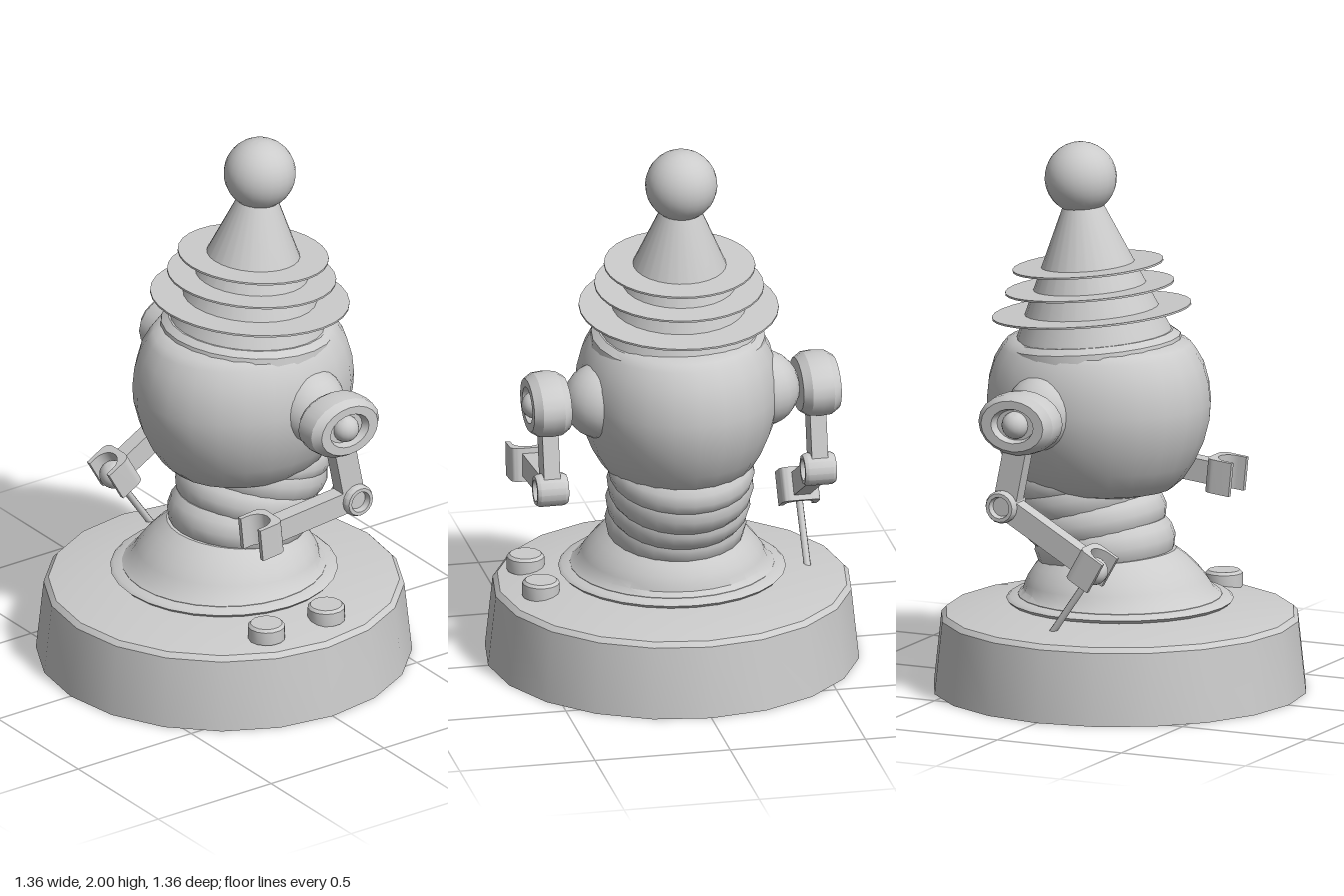
import * as THREE from 'three';
import { toCreasedNormals } from 'three/addons/utils/BufferGeometryUtils.js';

const material = new THREE.MeshStandardMaterial({ color: 0xcccccc, side: THREE.DoubleSide });

// Mesh with soft shading but sharp edges
function part(name, geometry, x = 0, y = 0, z = 0, crease = 0.6) {
  const mesh = new THREE.Mesh(toCreasedNormals(geometry, crease), material);
  mesh.name = name;
  mesh.position.set(x, y, z);
  return mesh;
}

// Turned shape from [radius, height] pairs
const turned = (points, sides = 24) =>
  new THREE.LatheGeometry(points.map(([r, y]) => new THREE.Vector2(r, y)), sides);

// Body: ball below, bell above whose top leans backwards
function makeBell() {
  const points = [];
  for (let i = 0; i <= 8; i++) {
    const a = (i / 8) * Math.PI / 2;
    points.push([0.37 * Math.sin(a), -0.35 * Math.cos(a)]);
  }
  points.push([0.345, 0.02], [0.33, 0.05], [0.31, 0.08], [0.28, 0.115], [0.245, 0.145], [0, 0.145]);
  const geometry = turned(points, 28);
  const p = geometry.attributes.position;
  for (let i = 0; i < p.count; i++) {
    const t = Math.max(0, p.getY(i)) / 0.145;
    p.setY(i, p.getY(i) + 0.09 * t * p.getZ(i));
    p.setZ(i, p.getZ(i) - 0.045 * t);
  }
  return part('bell', geometry, 0, 0.35, 0);
}

// U-shaped gripper, open towards +z
function makeClaw() {
  const s = new THREE.Shape();
  s.moveTo(-0.07, 0.105);
  s.lineTo(-0.07, 0.035);
  s.quadraticCurveTo(-0.07, 0, -0.035, 0);
  s.lineTo(0.035, 0);
  s.quadraticCurveTo(0.07, 0, 0.07, 0.035);
  s.lineTo(0.07, 0.105);
  s.lineTo(0.052, 0.105);
  s.lineTo(0.052, 0.075);
  s.absarc(0, 0.075, 0.052, 0, Math.PI, true);
  s.lineTo(-0.052, 0.105);
  const geometry = new THREE.ExtrudeGeometry(s, { depth: 0.125, bevelEnabled: false, curveSegments: 8 });
  geometry.translate(0, 0, -0.0625);
  geometry.rotateX(Math.PI / 2);
  return part('claw', geometry);
}

// Arm on one side; bend tips the forearm downwards
function makeArm(side, bend) {
  const arm = new THREE.Group();
  arm.name = side > 0 ? 'leftArm' : 'rightArm';
  arm.add(part('shoulderBall', new THREE.SphereGeometry(0.14, 20, 14), side * 0.295, 1.06, -0.16));

  // Oval shoulder housing with a recessed outer face and a knob
  const shoulder = part('shoulder', turned([
    [0, -0.07], [0.125, -0.07], [0.15, -0.04], [0.155, 0], [0.15, 0.04], [0.125, 0.07],
    [0.085, 0.07], [0.075, 0.04], [0, 0.04],
  ], 20), side * 0.498, 1.06, -0.155, 0.45);
  shoulder.rotation.z = -side * Math.PI / 2;
  shoulder.scale.x = 0.75;
  arm.add(shoulder);
  arm.add(part('shoulderKnob', new THREE.SphereGeometry(0.05, 16, 12), side * 0.54, 1.06, -0.155));

  const upper = part('upperArm', new THREE.BoxGeometry(0.06, 0.25, 0.09), side * 0.495, 0.87, -0.185);
  upper.rotation.x = 0.2;
  arm.add(upper);

  // Elbow with a recess at each end
  const elbow = part('elbow', turned([
    [0, -0.035], [0.035, -0.035], [0.04, -0.058], [0.053, -0.058], [0.06, -0.045],
    [0.06, 0.045], [0.053, 0.058], [0.04, 0.058], [0.035, 0.035], [0, 0.035],
  ], 16), side * 0.495, 0.75, -0.215);
  elbow.rotation.z = -side * Math.PI / 2;
  arm.add(elbow);

  const forearm = new THREE.Group();
  forearm.name = 'forearm';
  forearm.position.set(side * 0.495, 0.75, -0.215);
  forearm.rotation.x = bend;
  forearm.add(part('forearmBar', new THREE.BoxGeometry(0.06, 0.085, 0.33), 0, 0, 0.18));
  const claw = makeClaw();
  claw.position.z = 0.345;
  forearm.add(claw);
  arm.add(forearm);
  return arm;
}

export function createModel() {
  const model = new THREE.Group();
  model.name = 'robot';

  // Hollow base with collar
  model.add(part('base', turned([[0.68, 0], [0.652, 0.265], [0.635, 0.283], [0.4, 0.322], [0.34, 0.322]], 20), 0, 0, 0, 0.5));
  model.add(part('collar', turned([[0.33, 0.318], [0.4, 0.322], [0.412, 0.334], [0.4, 0.344], [0.34, 0.352], [0.33, 0.365]], 28)));
  model.add(makeBell());

  // Buttons
  for (const z of [0.17, -0.095]) {
    model.add(part('button', turned([[0.068, 0], [0.068, 0.05], [0.058, 0.06], [0, 0.06]], 14), 0.505, 0.295, z));
  }

  // Bent waist of bulging rings: [y, z, tilt, radius, half height]
  const waist = [
    [0.535, -0.06, 0.12, 0.252, 0.07],
    [0.625, -0.1, 0.2, 0.258, 0.065],
    [0.71, -0.14, 0.24, 0.262, 0.07],
    [0.77, -0.155, 0.2, 0.262, 0.06],
  ];
  for (const [y, z, tilt, r, h] of waist) {
    const ring = part('waistRing', turned([
      [0, -h], [r - 0.025, -h], [r - 0.005, -h * 0.6], [r + 0.005, 0], [r - 0.005, h * 0.6], [r - 0.025, h], [0, h],
    ]), 0, y, z, 0.8);
    ring.rotation.x = -tilt;
    model.add(ring);
  }

  // Rounded head, narrower across than deep
  const head = part('head', turned([
    [0, 0.73], [0.22, 0.73], [0.275, 0.745], [0.315, 0.78], [0.355, 0.84], [0.392, 0.92], [0.413, 1.0],
    [0.417, 1.06], [0.41, 1.13], [0.39, 1.2], [0.36, 1.25], [0.34, 1.275], [0.3, 1.29], [0, 1.29],
  ], 24), 0, 0, -0.085);
  head.scale.x = 0.88;
  model.add(head);

  // Leaning hat with brim discs and ball
  const hat = new THREE.Group();
  hat.name = 'hat';
  hat.position.set(0, 1.28, -0.105);
  hat.rotation.x = -0.09;
  hat.add(part('hatBand', turned([[0.32, -0.05], [0.315, -0.005], [0.29, 0.015], [0, 0.015]])));
  hat.add(part('cone', turned([[0.29, -0.01], [0.28, 0.025], [0.07, 0.5], [0, 0.5]], 28)));
  for (const [y, r] of [[0.105, 0.362], [0.192, 0.307], [0.272, 0.274]]) {
    hat.add(part('disc', new THREE.CylinderGeometry(r, r, 0.007, 32), 0, y, 0));
  }
  hat.add(part('hatBall', new THREE.SphereGeometry(0.131, 24, 16), 0, 0.593, 0));
  model.add(hat);

  model.add(makeArm(1, 0.1), makeArm(-1, 0.52));

  // Lever held in the right claw
  const top = new THREE.Vector3(-0.495, 0.54, 0.14);
  const foot = new THREE.Vector3(-0.495, 0.28, -0.04);
  model.add(part('leverRod', new THREE.TubeGeometry(new THREE.LineCurve3(foot, top), 1, 0.013, 8), 0, 0, 0, 1));
  model.add(part('leverKnob', new THREE.SphereGeometry(0.051, 16, 12), top.x, top.y, top.z));
  return model;
}
